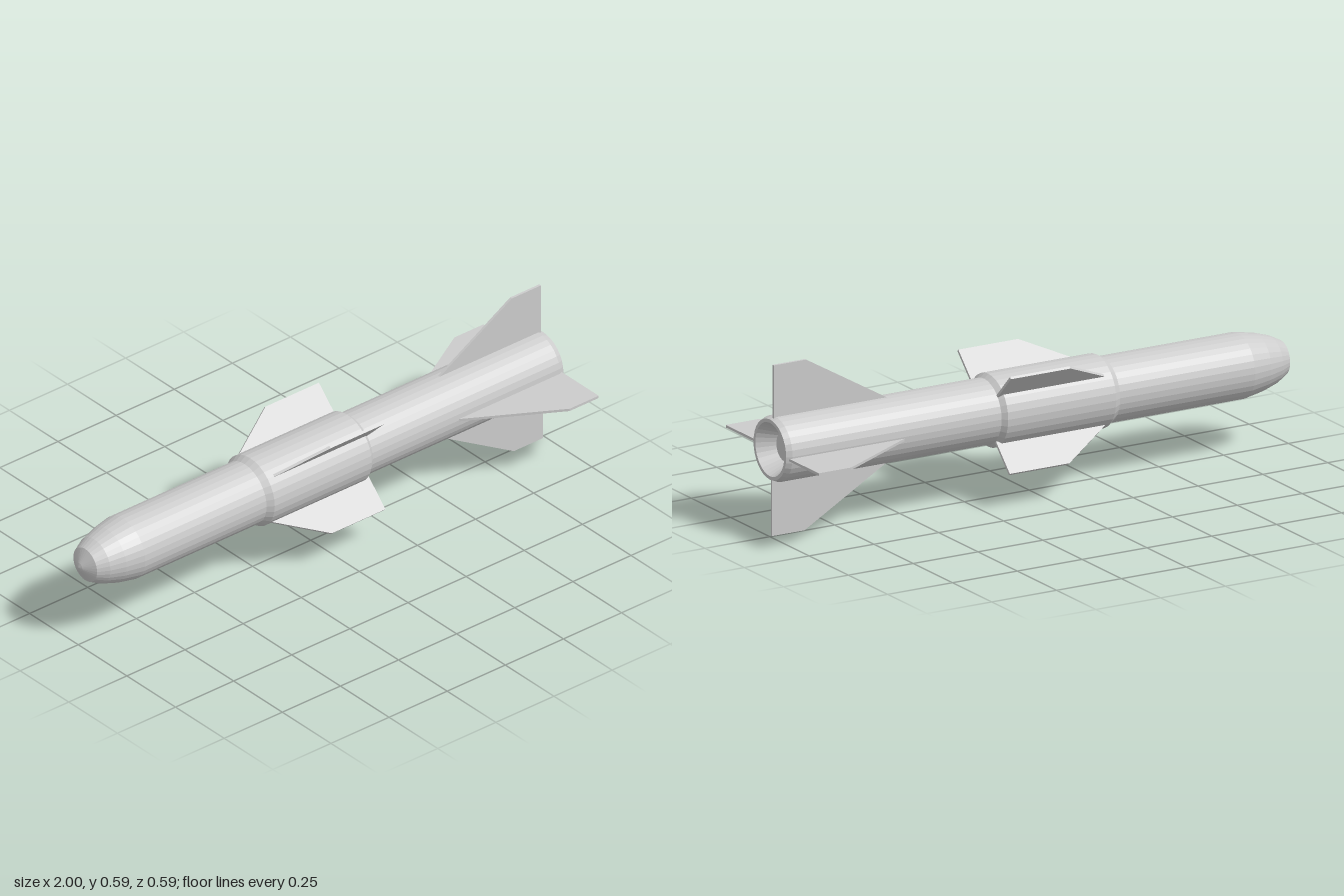
import * as THREE from 'three';

const AXIS_Y = 0.302;
const material = new THREE.MeshStandardMaterial({ color: 0xcccccc, flatShading: true });

// Turns a profile of [x, radius] points, listed nose to tail, around the long axis
function turned(name, profile) {
  const points = profile.map(([x, r]) => new THREE.Vector2(r, x));
  const geometry = new THREE.LatheGeometry(points, 32);
  geometry.rotateZ(-Math.PI / 2);
  const mesh = new THREE.Mesh(geometry, material);
  mesh.name = name;
  mesh.position.y = AXIS_Y;
  return mesh;
}

// Four thin plates around the axis; outline is [x, radius] points
function finSet(name, outline, startAngle) {
  const thickness = 0.009;
  const tangentShift = 0.005;
  const shape = new THREE.Shape(outline.map(([x, r]) => new THREE.Vector2(x, r)));
  const geometry = new THREE.ExtrudeGeometry(shape, { depth: thickness, bevelEnabled: false });
  geometry.translate(0, 0, -thickness / 2 - tangentShift);
  const set = new THREE.Group();
  set.name = name + 's';
  set.position.set(0, AXIS_Y - 0.005, 0.001);
  for (let i = 0; i < 4; i++) {
    const fin = new THREE.Mesh(geometry, material);
    fin.name = name;
    fin.rotation.x = startAngle + i * Math.PI / 2;
    set.add(fin);
  }
  return set;
}

export function createModel() {
  const model = new THREE.Group();
  model.name = 'missile';

  // Blunt nose, straight tube, chamfered rim and hollow nozzle
  model.add(turned('body', [
    [-1, 0], [-0.995, 0.015], [-0.97, 0.061], [-0.93, 0.082], [-0.875, 0.099],
    [-0.805, 0.112], [0.98, 0.112], [1, 0.104], [1, 0.092],
    [0.93, 0.06], [0.945, 0.049], [0.945, 0],
  ]));

  // Raised sleeve carrying the wings
  model.add(turned('wingCollar', [
    [-0.285, 0.111], [-0.26, 0.126], [0.157, 0.126], [0.175, 0.111],
  ]));

  // Diagonal wings at mid-body
  model.add(finSet('wing', [
    [-0.26, 0.112], [0.175, 0.112], [0.175, 0.237], [-0.055, 0.237],
  ], Math.PI / 4));

  // Upright and level fins at the tail
  model.add(finSet('tailFin', [
    [0.53, 0.102], [0.99, 0.102], [0.99, 0.296], [0.865, 0.296],
  ], 0));

  return model;
}
